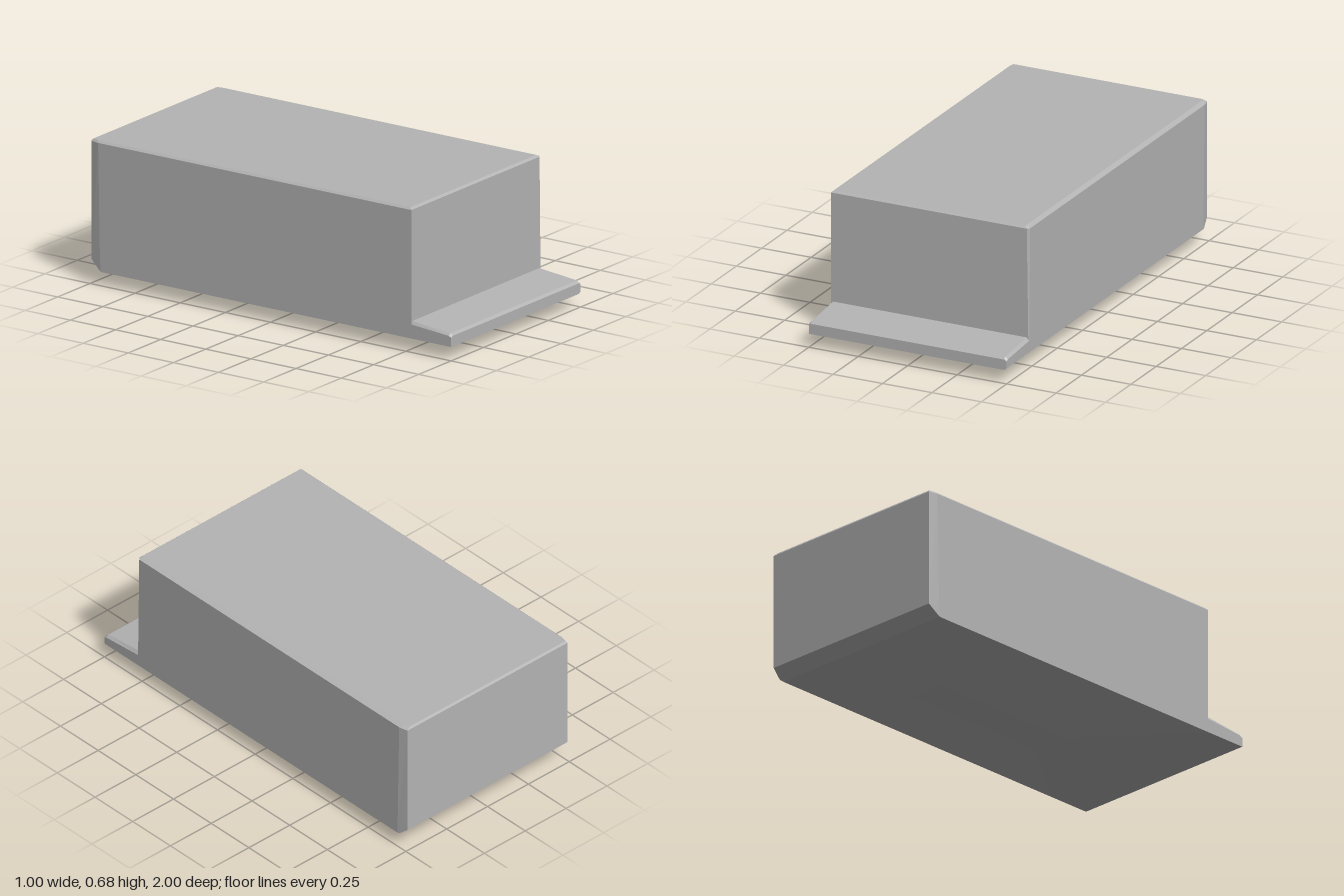
import * as THREE from 'three';

// Flat-shaded solid through a list of equal-length rings, each counter-clockwise seen from its far end
function loft(rings) {
  const pos = [];
  const ab = new THREE.Vector3(), ac = new THREE.Vector3();
  const tri = (a, b, c) => {
    ab.subVectors(b, a);
    ac.subVectors(c, a);
    if (ab.cross(ac).length() < 1e-9) return; // collapsed corner
    for (const p of [a, b, c]) pos.push(p.x, p.y, p.z);
  };
  const n = rings[0].length;
  for (let r = 0; r < rings.length - 1; r++) {
    const lo = rings[r], hi = rings[r + 1];
    for (let i = 0; i < n; i++) {
      const j = (i + 1) % n;
      tri(lo[i], lo[j], hi[j]);
      tri(lo[i], hi[j], hi[i]);
    }
  }
  const first = rings[0], last = rings[rings.length - 1];
  for (let i = 1; i < n - 1; i++) {
    tri(first[0], first[i + 1], first[i]);
    tri(last[0], last[i], last[i + 1]);
  }
  const g = new THREE.BufferGeometry();
  g.setAttribute('position', new THREE.Float32BufferAttribute(pos, 3));
  g.computeVertexNormals();
  return g;
}

// Horizontal outline with bevelled back corners and one bevelled front corner
function outline(y, x0, x1, front, back, frontCut = 0, backCutX = 0, backCutZ = 0) {
  return [
    [x0, front],
    [x1 - frontCut, front], [x1, front - frontCut],
    [x1, back + backCutZ], [x1 - backCutX, back],
    [x0 + backCutX, back], [x0, back + backCutZ],
  ].map(([x, z]) => new THREE.Vector3(x, y, z));
}

// Lip cross-section with bevelled upper edges
function lipSection(z, side, top) {
  return [[-0.5, 0.065], [0.487, 0.065], [0.5, 0.075], [0.5, side], [0.488, top], [-0.49, top], [-0.5, side]]
    .map(([x, y]) => new THREE.Vector3(x, y, z));
}

export function createModel() {
  const group = new THREE.Group();
  group.name = 'block';
  const gray = new THREE.MeshStandardMaterial({ color: 0xb4b4b4, flatShading: true });
  gray.name = 'gray';

  const add = (name, rings) => {
    const mesh = new THREE.Mesh(loft(rings), gray);
    mesh.name = name;
    group.add(mesh);
  };

  // Main box, its sloped underside and bevelled rims
  add('body', [
    outline(0, -0.09, 0.085, 0.27, -0.52),
    outline(0.065, -0.5, 0.487, 0.78, -0.94),
    outline(0.075, -0.5, 0.5, 0.78, -0.953, 0.003, 0.002, 0.012),
    outline(0.115, -0.5, 0.5, 0.78, -1, 0.003, 0.01, 0.055),
    outline(0.671, -0.5, 0.5, 0.78, -1, 0.011, 0.01, 0.045),
    outline(0.681, -0.49, 0.477, 0.77, -0.993, 0, 0.005, 0.03),
  ]);

  // Sloped ledge along the front
  add('frontLip', [
    lipSection(0.775, 0.132, 0.147),
    lipSection(0.988, 0.115, 0.126),
    lipSection(1, 0.108, 0.115),
  ]);
  return group;
}
